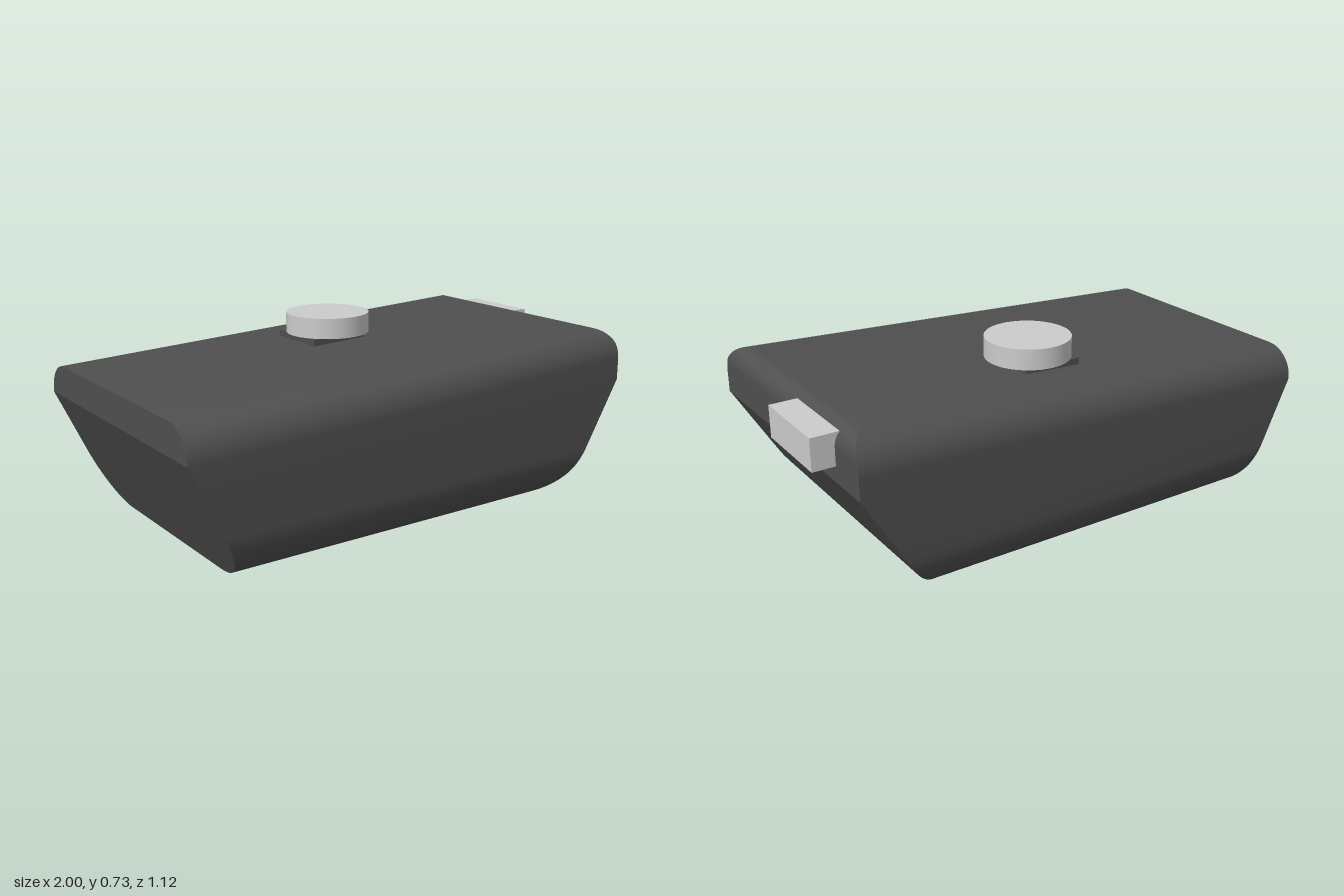
import * as THREE from 'three';
import { toCreasedNormals } from 'three/addons/utils/BufferGeometryUtils.js';

const dark = new THREE.MeshStandardMaterial({ color: 0x4f4f4f });
const grey = new THREE.MeshStandardMaterial({ color: 0xcccccc });

// quarter-round: distance travelled sideways for a given depth
const round = (r, d) => (d >= r ? r : Math.sqrt(r * r - (r - d) * (r - d)));

// right end outline below the rim: a fillet, then a slanted straight run
const rightX = y => (y < 0.145 ? 0.47 + round(0.3, y) : 0.727 + (0.188 * (y - 0.145)) / 0.315);
const leftX = y => (y < 0.46 ? -0.79 - (0.21 * y) / 0.46 : -1);

// levels from bottom to top: left end, right end and half width
function bodyLevels() {
  const levels = [];
  const steps = 14;
  for (let i = 0; i <= steps; i++) {
    const y = 0.2 * (1 - Math.cos((i / steps) * Math.PI / 2));
    levels.push({ xl: leftX(y), yl: y, xr: rightX(y), yr: y, w: 0.36 + round(0.2, y) });
  }
  levels.push({ xl: leftX(0.38), yl: 0.38, xr: 0.915, yr: 0.46, w: 0.56 });
  for (let i = steps; i >= 0; i--) {
    const d = 0.12 * (1 - Math.cos((i / steps) * Math.PI / 2));
    levels.push({ xl: -1, yl: 0.58 - d, xr: 0.84 + round(0.075, d), yr: 0.663 - d, w: 0.44 + round(0.12, d) });
  }
  return levels;
}

function bodyGeometry() {
  const pos = [];
  const index = [];
  const levels = bodyLevels();
  const quad = (a, b, c, d) => index.push(a, b, c, a, c, d);
  levels.forEach(({ xl, yl, xr, yr, w }, j) => {
    pos.push(xl, yl, w, xr, yr, w, xr, yr, -w, xl, yl, -w);
    if (j === 0) return;
    const a = (j - 1) * 4;
    const b = j * 4;
    for (let k = 0; k < 4; k++) {
      const n = (k + 1) % 4;
      quad(a + k, a + n, b + n, b + k);
    }
  });
  const t = (levels.length - 1) * 4;
  quad(3, 2, 1, 0);
  quad(t, t + 1, t + 2, t + 3);
  const geo = new THREE.BufferGeometry();
  geo.setAttribute('position', new THREE.Float32BufferAttribute(pos, 3));
  geo.setIndex(index);
  return toCreasedNormals(geo, 0.42);
}

export function createModel() {
  const model = new THREE.Group();
  const add = (name, geo, mat, x = 0, y = 0, z = 0) => {
    const mesh = new THREE.Mesh(geo, mat);
    mesh.name = name;
    mesh.position.set(x, y, z);
    model.add(mesh);
  };
  // box given by its lower and upper corners
  const box = (name, mat, [x0, y0, z0], [x1, y1, z1]) =>
    add(name, new THREE.BoxGeometry(x1 - x0, y1 - y0, z1 - z0), mat, (x0 + x1) / 2, (y0 + y1) / 2, (z0 + z1) / 2);

  add('body', bodyGeometry(), dark);

  // round button on its square mount
  box('buttonMount', dark, [-0.14, 0.56, -0.295], [0.1, 0.645, -0.045]);
  add('button', new THREE.CylinderGeometry(0.165, 0.165, 0.08, 64), grey, 0.003, 0.685, -0.163);

  // tab at the end, with its mount set into the wall
  box('tabMount', dark, [0.8, 0.505, -0.38], [0.918, 0.62, -0.07]);
  box('endTab', grey, [0.89, 0.52, -0.395], [1, 0.64, -0.067]);

  return model;
}
